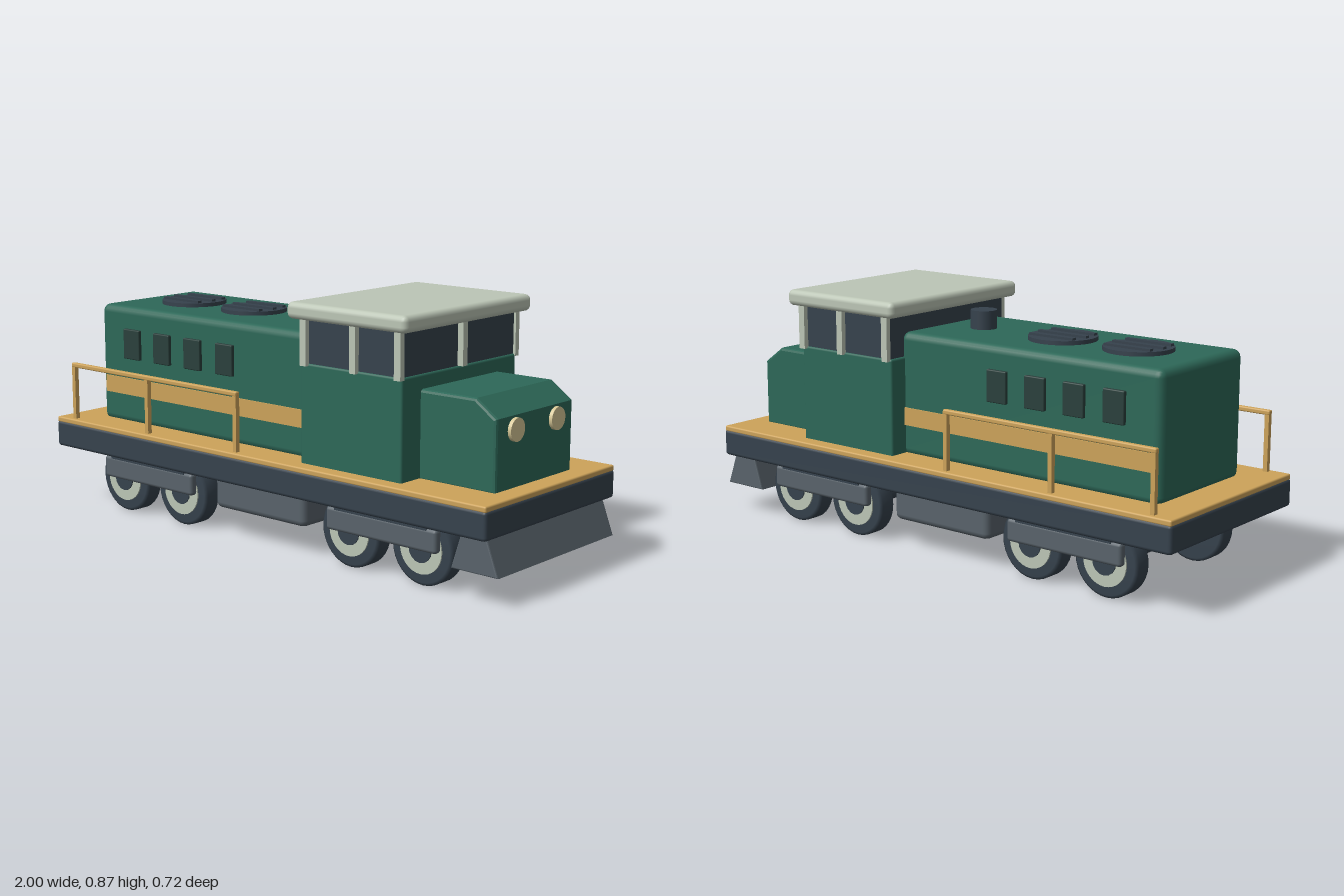
import * as THREE from 'three';
import { RoundedBoxGeometry } from 'three/addons/geometries/RoundedBoxGeometry.js';

const mat = (name, color) => {
  const m = new THREE.MeshStandardMaterial({ color });
  m.name = name;
  return m;
};

export function createModel() {
  const green = mat('body green', 0x2d6858);
  const tan = mat('deck tan', 0xcda35a);
  const dark = mat('frame dark', 0x36424d);
  const grey = mat('undercarriage grey', 0x59636b);
  const cream = mat('roof cream', 0xbcc6b6);
  const ventDark = mat('vent dark', 0x2a403c);
  const lamp = mat('lamp ivory', 0xd6c796);

  const root = new THREE.Group();
  root.name = 'locomotive';

  const add = (name, geo, material, x = 0, y = 0, z = 0, parent = root) => {
    const m = new THREE.Mesh(geo, material);
    m.name = name;
    m.position.set(x, y, z);
    parent.add(m);
    return m;
  };
  // Box given by its limits; r is the edge rounding
  const box = (name, material, [x0, x1], [y0, y1], [z0, z1], r = 0, parent = root) => {
    const w = x1 - x0, h = y1 - y0, d = z1 - z0;
    const geo = r ? new RoundedBoxGeometry(w, h, d, 2, r) : new THREE.BoxGeometry(w, h, d);
    return add(name, geo, material, (x0 + x1) / 2, (y0 + y1) / 2, (z0 + z1) / 2, parent);
  };
  // Side profile in x and y, extruded across z with a small bevel
  const profile = (name, material, pts, halfWidth, b) => {
    const shape = new THREE.Shape(pts.map(([x, y]) => new THREE.Vector2(x, y)));
    const geo = new THREE.ExtrudeGeometry(shape, {
      depth: 2 * (halfWidth - b), bevelEnabled: true, bevelThickness: b,
      bevelSize: b, bevelOffset: -b, bevelSegments: 2,
    });
    return add(name, geo, material, 0, 0, -(halfWidth - b));
  };

  // Chassis
  box('frame', dark, [-1, 0.975], [0.215, 0.311], [-0.36, 0.36], 0.012);
  box('deck', tan, [-0.998, 0.973], [0.305, 0.326], [-0.358, 0.358], 0.006);
  box('fuelTank', grey, [-0.235, 0.185], [0.098, 0.225], [-0.295, 0.295], 0.022);
  profile('pilot', grey, [[0.82, 0.098], [0.998, 0.098], [0.95, 0.225], [0.86, 0.225]], 0.325, 0.005);

  // Long hood, cab and nose
  box('longHood', green, [-0.875, 0.2], [0.315, 0.75], [-0.237, 0.237], 0.028);
  box('cab', green, [0.18, 0.606], [0.318, 0.663], [-0.305, 0.305], 0.008);
  box('cabWindows', dark, [0.188, 0.6], [0.65, 0.82], [-0.3, 0.3]);
  box('cabRoof', cream, [0.145, 0.645], [0.808, 0.865], [-0.34, 0.34], 0.02);
  profile('nose', green, [[0.59, 0.318], [0.9, 0.318], [0.9, 0.558], [0.82, 0.615], [0.59, 0.615]], 0.21, 0.01);
  box('frontWindowPost', cream, [0.598, 0.622], [0.663, 0.815], [-0.012, 0.012]);

  // Roof details
  add('exhaustStack', new THREE.CylinderGeometry(0.046, 0.046, 0.08, 24), dark, 0.023, 0.775, 0);
  for (const x of [-0.625, -0.32]) {
    const fan = new THREE.Group();
    fan.name = 'roofFan';
    fan.position.set(x, 0.75, 0);
    root.add(fan);
    add('fanDisc', new THREE.CylinderGeometry(0.118, 0.118, 0.02, 32), dark, 0, 0.004, 0, fan);
    for (const z of [-0.06, 0, 0.06]) {
      const half = z ? 0.09 : 0.1;
      box('fanBar', dark, [-half, half], [0.01, 0.022], [z - 0.009, z + 0.009], 0, fan);
    }
  }

  // Details on both long sides
  for (const s of [-1, 1]) {
    const side = (a, b) => (s > 0 ? [a, b] : [-b, -a]);
    box('hoodStripe', tan, [-0.85, 0.18], [0.425, 0.487], side(0.234, 0.242));
    for (const x of [-0.702, -0.546, -0.39, -0.232]) {
      box('hoodVent', ventDark, [x - 0.041, x + 0.041], [0.56, 0.67], side(0.23, 0.25), 0.004);
    }
    for (const x of [0.201, 0.412, 0.596]) {
      box('sideWindowPost', cream, [x - 0.013, x + 0.013], [0.655, 0.815], side(0.298, 0.318));
    }
    // Handrail
    for (const x of [-0.918, -0.527, -0.09]) {
      box('railPost', tan, [x - 0.008, x + 0.008], [0.32, 0.53], side(0.325, 0.342));
    }
    box('railBar', tan, [-0.928, -0.081], [0.518, 0.535], side(0.324, 0.343), 0.005);
    // Headlight
    const light = add('headlight', new THREE.CylinderGeometry(0.038, 0.038, 0.025, 24), lamp, 0.9, 0.513, s * 0.112);
    light.rotation.z = Math.PI / 2;
  }

  // Wheel with its axis turned to z, outer face towards +z
  const tyre = new THREE.LatheGeometry(
    [[0, -0.035], [0.112, -0.035], [0.123, -0.026], [0.123, 0.026], [0.112, 0.035], [0, 0.035]]
      .map(([r, y]) => new THREE.Vector2(r, y)), 32).rotateX(Math.PI / 2);
  const disc = new THREE.CylinderGeometry(0.083, 0.083, 0.012, 32).rotateX(Math.PI / 2);
  const hub = new THREE.CylinderGeometry(0.045, 0.045, 0.016, 16).rotateX(Math.PI / 2);
  const axle = new THREE.CylinderGeometry(0.027, 0.027, 0.46, 16).rotateX(Math.PI / 2);

  // Bogies
  for (const cx of [-0.559, 0.526]) {
    const bogie = new THREE.Group();
    bogie.name = 'bogie';
    bogie.position.x = cx;
    root.add(bogie);
    for (const s of [-1, 1]) {
      const z = s > 0 ? [0.284, 0.316] : [-0.316, -0.284];
      box('bogieSideFrame', grey, [-0.228, 0.228], [0.123, 0.202], z, 0.012, bogie);
      box('bogieHanger', dark, [-0.19, 0.19], [0.195, 0.222], z, 0, bogie);
    }
    for (const x of [-0.149, 0.149]) {
      add('axle', axle, dark, x, 0.123, 0, bogie);
      for (const s of [-1, 1]) {
        const wheel = new THREE.Group();
        wheel.name = 'wheel';
        wheel.position.set(x, 0.123, s * 0.25);
        if (s < 0) wheel.rotation.y = Math.PI;
        bogie.add(wheel);
        add('tyre', tyre, dark, 0, 0, 0, wheel);
        add('wheelDisc', disc, cream, 0, 0, 0.034, wheel);
        add('wheelHub', hub, dark, 0, 0, 0.036, wheel);
      }
    }
  }
  return root;
}
